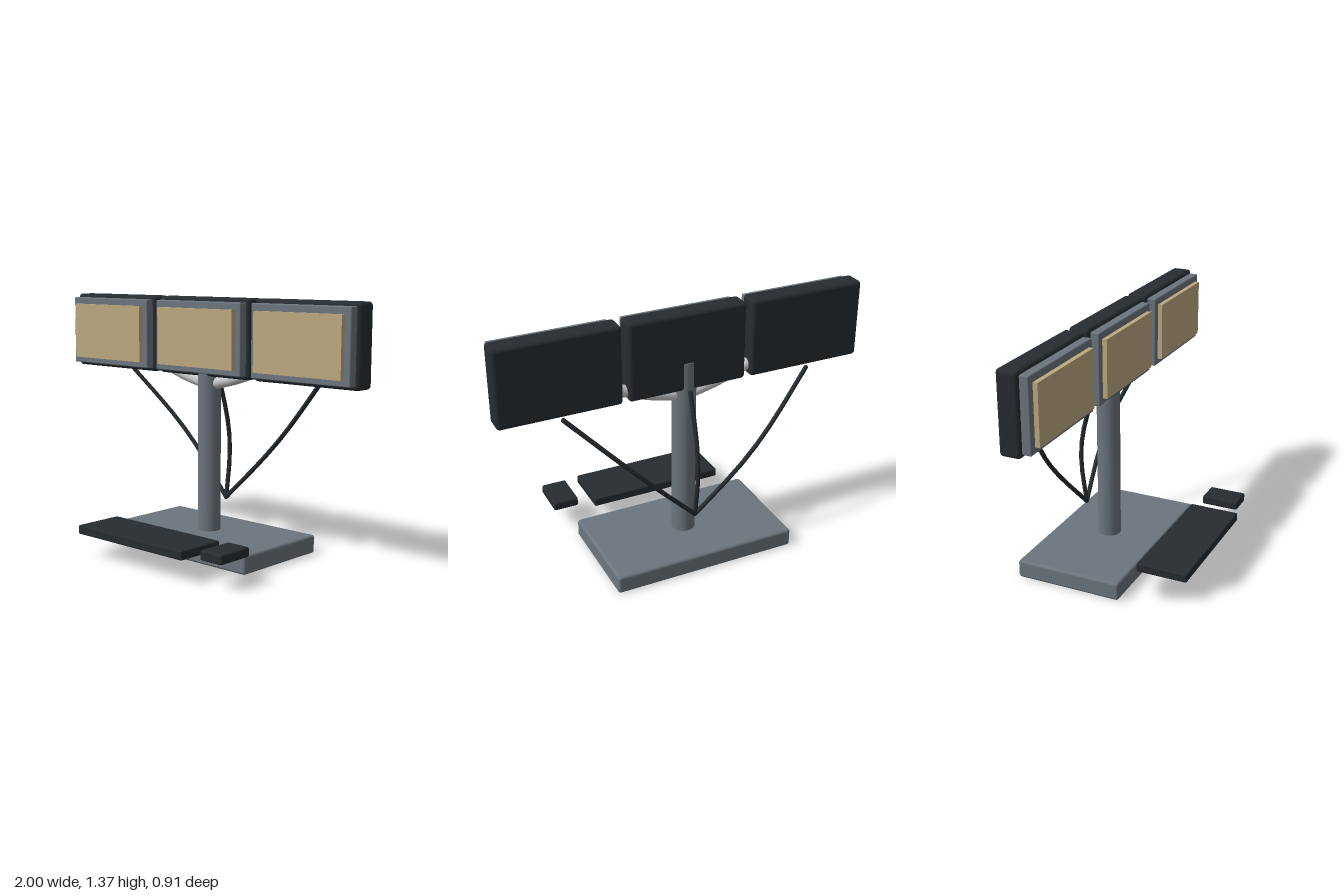
import * as THREE from 'three';
import { RoundedBoxGeometry } from 'three/addons/geometries/RoundedBoxGeometry.js';

export function createModel() {
  const model = new THREE.Group();
  model.name = 'tripleMonitorStand';

  const dark = new THREE.MeshStandardMaterial({ color: 0x262c30 });
  const slate = new THREE.MeshStandardMaterial({ color: 0x6c757e });
  const tan = new THREE.MeshStandardMaterial({ color: 0xbca981 });
  const grey = new THREE.MeshStandardMaterial({ color: 0xcccccc });

  const add = (parent, name, geometry, material, x = 0, y = 0, z = 0) => {
    const mesh = new THREE.Mesh(geometry, material);
    mesh.name = name;
    mesh.position.set(x, y, z);
    parent.add(mesh);
    return mesh;
  };
  const rounded = (w, h, d, r) => new RoundedBoxGeometry(w, h, d, 3, r);

  // Foot and upright post
  const axisZ = -0.162;
  add(model, 'base', rounded(1.01, 0.1, 0.587, 0.015), slate, 0, 0.05, axisZ);
  add(model, 'post', new THREE.CylinderGeometry(0.0625, 0.0625, 1.01, 32), slate, 0, 0.595, axisZ);

  // Three monitors: housing, stepped bezel and raised screen
  [['right', -0.677], ['centre', 0], ['left', 0.677]].forEach(([side, x]) => {
    const monitor = new THREE.Group();
    monitor.name = side + 'Monitor';
    monitor.position.set(x, 1.158, 0);
    add(monitor, 'housing', rounded(0.645, 0.42, 0.113, 0.02), dark, 0, 0, -0.161);
    add(monitor, 'bezel', rounded(0.606, 0.38, 0.06, 0.006), slate, 0, 0, -0.088);
    add(monitor, 'screen', new THREE.BoxGeometry(0.535, 0.31, 0.03), tan, 0, -0.002, -0.048);
    model.add(monitor);
  });

  // Curved arms from the post out to the side monitors
  for (const s of [1, -1]) {
    const arm = new THREE.CatmullRomCurve3([
      new THREE.Vector3(0, 0.9, axisZ),
      new THREE.Vector3(s * 0.18, 0.943, axisZ),
      new THREE.Vector3(s * 0.34, 0.997, axisZ),
      new THREE.Vector3(s * 0.62, 1.08, axisZ),
    ]);
    add(model, s > 0 ? 'leftArm' : 'rightArm', new THREE.TubeGeometry(arm, 16, 0.032, 16), grey);
  }

  // Cables bowing backwards from each monitor to a shared point behind the post
  const sag = [[0, -0.235], [0.33, -0.306], [0.5, -0.328], [0.68, -0.331], [1, -0.303]];
  [['right', -0.677], ['centre', 0], ['left', 0.677]].forEach(([side, x]) => {
    const path = new THREE.CatmullRomCurve3(
      sag.map(([t, z]) => new THREE.Vector3(x * (1 - t), 0.945 - 0.69 * t, z)));
    add(model, side + 'Cable', new THREE.TubeGeometry(path, 8, 0.012, 10), dark);
    // Closed cable ends
    for (const t of [0, 1]) {
      const p = path.getPoint(t);
      add(model, side + 'CableEnd', new THREE.SphereGeometry(0.012, 10, 8), dark, p.x, p.y, p.z);
    }
  });

  // Keyboard and mouse
  add(model, 'keyboard', rounded(0.758, 0.048, 0.28, 0.008), dark, 0, 0.144, 0.317);
  add(model, 'mouse', rounded(0.14, 0.052, 0.21, 0.012), dark, 0.535, 0.159, 0.315);

  return model;
}
